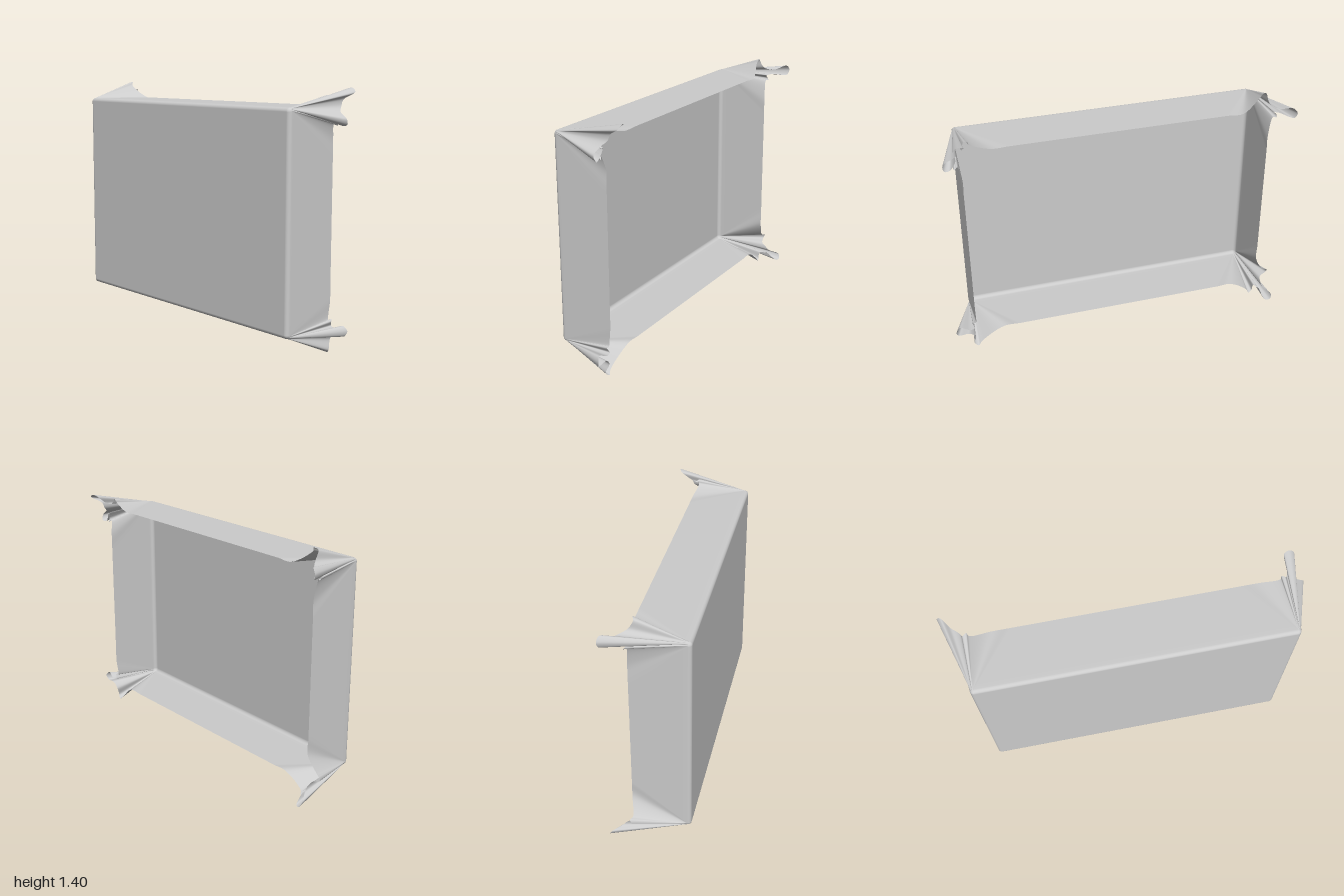
import * as THREE from 'three';

const RIGHT = 0.877, LEFT = -0.885, TOP = 1.312, BOTTOM = 0.128, FRONT = 0.226;
const HEM = -0.095;   // depth of the straight hem
const ROUND = 0.022;  // softness of the front edges

// Gathered folds, counter-clockwise: tip offset x and y from the corner, tip z, half width
const topRight = [
  [0.035, -0.1, -0.09, 0.012], [0.09, -0.095, -0.1, 0.025],
  [0.025, 0.09, -0.21, 0.03], [-0.045, 0.052, -0.09, 0.015]];
const topLeft = [
  [0.037, 0.095, -0.07, 0.018], [-0.112, 0.018, -0.21, 0.03], [-0.04, -0.05, -0.1, 0.012]];
const bottomLeft = [
  [-0.08, 0.06, -0.09, 0.02], [-0.06, -0.082, -0.21, 0.025], [0.035, -0.09, -0.1, 0.02]];
const bottomRight = [
  [-0.005, -0.122, -0.08, 0.022], [0.12, 0.015, -0.1, 0.028], [0.012, 0.06, -0.095, 0.01]];

const corners = [
  { x: RIGHT, y: TOP, folds: topRight },
  { x: LEFT, y: TOP, folds: topLeft },
  { x: LEFT, y: BOTTOM, folds: bottomLeft },
  { x: RIGHT, y: BOTTOM, folds: bottomRight },
];

// Hem curve round one corner, from wall to wall through every fold
function cornerHem({ x, y, folds }, angle) {
  const points = [];
  const add = (dx, dy, z) => points.push(new THREE.Vector3(x + dx, y + dy, z));
  const c = Math.cos(angle), s = Math.sin(angle);

  for (const d of [0.26, 0.16]) add(s * d, -c * d, HEM);
  folds.forEach(([tx, ty, tz, width], i) => {
    const length = Math.hypot(tx, ty);
    const sx = -ty / length * width, sy = tx / length * width;
    const last = i === folds.length - 1;
    const rootZ = THREE.MathUtils.lerp(HEM, tz, 0.4);
    // Up one flank, round the tip and down the other flank
    if (i > 0) add(tx * 0.4 - sx * 0.5, ty * 0.4 - sy * 0.5, rootZ);
    add(tx * 0.85 - sx, ty * 0.85 - sy, tz + 0.01);
    add(tx, ty, tz);
    add(tx * 0.85 + sx, ty * 0.85 + sy, tz + 0.01);
    if (!last) {
      add(tx * 0.4 + sx * 0.5, ty * 0.4 + sy * 0.5, rootZ);
      // Valley before the next fold
      const [nx, ny, nz] = folds[i + 1];
      add((tx + nx) * 0.22, (ty + ny) * 0.22, (HEM * 2 + tz + nz) / 4);
    }
  });
  for (const d of [0.16, 0.26]) add(-c * d, -s * d, HEM);
  return new THREE.CatmullRomCurve3(points, false, 'centripetal');
}

// Strands run from the front panel over the rounded edge down to the hem
function makeStrands() {
  const strands = [];
  const fanSteps = 130, wallSteps = 24, quarter = Math.PI / 2;
  const insets = corners.map(({ x, y }) => new THREE.Vector2(
    x - Math.sign(x) * ROUND, y + (y === TOP ? -ROUND : ROUND)));
  const hems = corners.map((corner, c) => cornerHem(corner, c * quarter));

  corners.forEach((corner, c) => {
    const next = (c + 1) % 4;
    // Gathered fan: every strand starts at the corner
    for (let i = 0; i <= fanSteps; i++) {
      const t = i / fanSteps;
      strands.push({ edge: insets[c], angle: (c + t) * quarter, hem: hems[c].getPoint(t) });
    }
    // Straight wall to the next corner
    const start = hems[c].getPoint(1), end = hems[next].getPoint(0);
    for (let i = 1; i < wallSteps; i++) {
      const t = i / wallSteps;
      strands.push({
        edge: insets[c].clone().lerp(insets[next], t),
        angle: (c + 1) * quarter,
        hem: start.clone().lerp(end, t),
      });
    }
  });
  return strands;
}

function strandPoints({ edge, angle, hem }) {
  const points = [];
  const centre = new THREE.Vector3((LEFT + RIGHT) / 2, (TOP + BOTTOM) / 2, FRONT);
  const rim = new THREE.Vector3(edge.x, edge.y, FRONT);
  // Flat front panel
  for (const t of [0, 0.5, 0.9]) points.push(centre.clone().lerp(rim, t));
  // Rounded edge
  for (let j = 0; j <= 5; j++) {
    const a = (j / 5) * Math.PI / 2, out = ROUND * Math.sin(a);
    points.push(new THREE.Vector3(
      edge.x + Math.cos(angle) * out,
      edge.y + Math.sin(angle) * out,
      FRONT - ROUND * (1 - Math.cos(a))));
  }
  // Hanging wall or fold
  const top = points[points.length - 1];
  for (let j = 1; j <= 12; j++) points.push(top.clone().lerp(hem, j / 12));
  return points;
}

function drapeGeometry() {
  const rows = makeStrands().map(strandPoints);
  const count = rows[0].length;
  const indices = [];
  rows.forEach((row, i) => {
    const a = i * count, b = ((i + 1) % rows.length) * count;
    for (let j = 0; j < count - 1; j++) {
      indices.push(a + j, a + j + 1, b + j + 1, a + j, b + j + 1, b + j);
    }
  });
  const geometry = new THREE.BufferGeometry().setFromPoints(rows.flat());
  geometry.setIndex(indices);
  geometry.computeVertexNormals();
  // The flat panel keeps one shared normal
  const normal = geometry.attributes.normal;
  for (let i = 0; i < rows.length; i++) {
    for (let j = 0; j < 4; j++) normal.setXYZ(i * count + j, 0, 0, 1);
  }
  return geometry;
}

export function createModel() {
  const group = new THREE.Group();
  group.name = 'drapedCloth';
  const cloth = new THREE.Mesh(
    drapeGeometry(),
    new THREE.MeshStandardMaterial({ color: 0xcccccc, side: THREE.DoubleSide }));
  cloth.name = 'clothSheet';
  group.add(cloth);
  return group;
}
